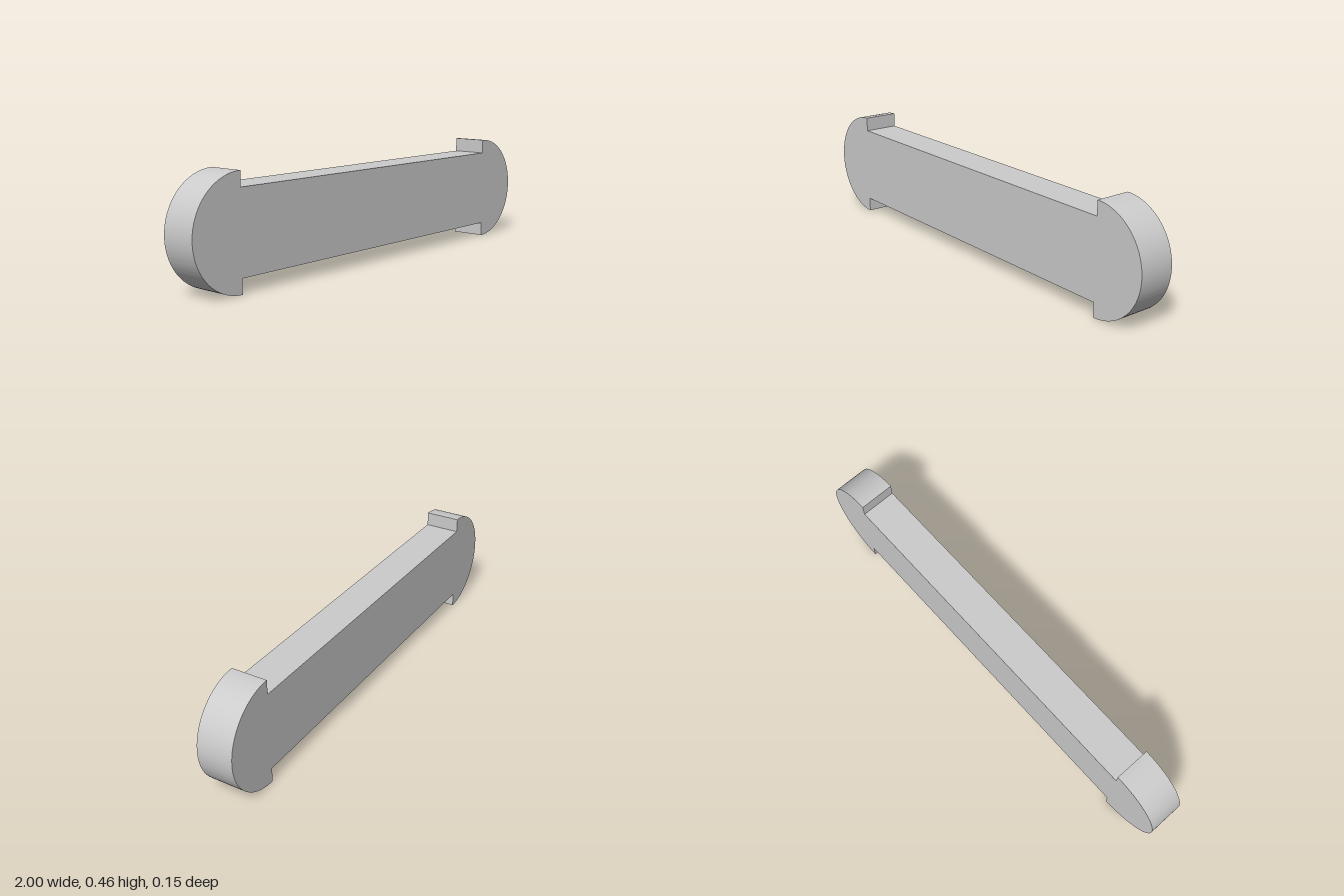
import * as THREE from 'three';
import { toCreasedNormals } from 'three/addons/utils/BufferGeometryUtils.js';

const R = 0.229;        // radius of the round ends
const INNER = 1 - R;    // x of the shoulders
const HALF_BAR = 0.168; // half height of the bar
const DEPTH = 0.153;

export function createModel() {
  const group = new THREE.Group();
  group.name = 'link';

  // Outline: straight bar with a wider half-disc at each end
  const outline = new THREE.Shape();
  outline.moveTo(-INNER, -HALF_BAR);
  outline.lineTo(INNER, -HALF_BAR);
  outline.lineTo(INNER, -R);
  outline.absarc(INNER, 0, R, -Math.PI / 2, Math.PI / 2, false);
  outline.lineTo(INNER, HALF_BAR);
  outline.lineTo(-INNER, HALF_BAR);
  outline.lineTo(-INNER, R);
  outline.absarc(-INNER, 0, R, Math.PI / 2, Math.PI * 1.5, false);
  outline.closePath();

  const extruded = new THREE.ExtrudeGeometry(outline, {
    depth: DEPTH, bevelEnabled: false, curveSegments: 40,
  });
  extruded.translate(0, R, -DEPTH / 2);

  // Smooth round ends, sharp shoulders and rims
  const bar = new THREE.Mesh(
    toCreasedNormals(extruded, Math.PI / 6),
    new THREE.MeshStandardMaterial({ color: 0xcccccc }),
  );
  bar.name = 'roundEndedBar';
  group.add(bar);
  return group;
}
